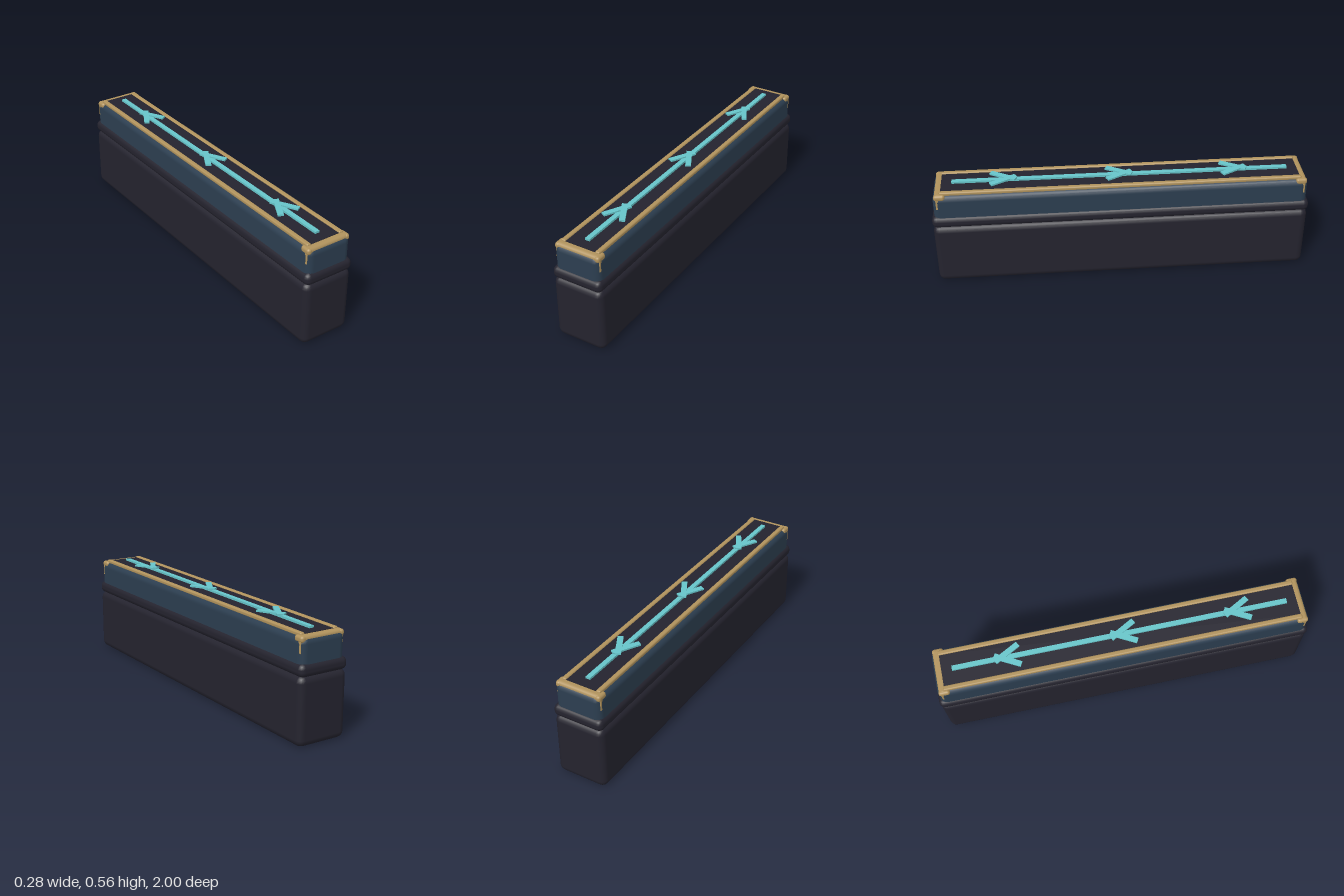
import * as THREE from 'three';
import { RoundedBoxGeometry } from 'three/addons/geometries/RoundedBoxGeometry.js';

function material(name, color) {
  const m = new THREE.MeshStandardMaterial({ color });
  m.name = name;
  return m;
}

export function createModel() {
  const group = new THREE.Group();
  const dark = material('charcoal', 0x24232e);
  const navy = material('navy', 0x2c3e50);
  const brass = material('brass', 0xb0925c);
  const teal = material('teal', 0x66c4c9);

  // Box given by size and centre, with rounded edges when r > 0
  function box(name, mat, [w, h, d], [x, y, z], r = 0) {
    const geo = r > 0 ? new RoundedBoxGeometry(w, h, d, 2, r) : new THREE.BoxGeometry(w, h, d);
    const mesh = new THREE.Mesh(geo, mat);
    mesh.name = name;
    mesh.position.set(x, y, z);
    group.add(mesh);
    return mesh;
  }

  // Stacked body
  box('base', dark, [0.28, 0.35, 1.995], [0, 0.175, 0], 0.035);
  box('collar', dark, [0.28, 0.066, 2], [0, 0.377, 0], 0.028);
  box('upperBody', navy, [0.256, 0.165, 1.974], [0, 0.4535, 0], 0.035);
  box('topPanel', dark, [0.18, 0.02, 1.89], [0, 0.532, 0]);

  // Raised side rails
  for (const s of [-1, 1]) {
    box('rail', brass, [0.026, 0.022, 1.9], [s * 0.0975, 0.538, 0], 0.008);
  }

  // End bars with corner lugs and legs
  for (const e of [-1, 1]) {
    box('endBar', brass, [0.252, 0.04, 0.045], [0, 0.521, e * 0.9555], 0.017);
    for (const s of [-1, 1]) {
      box('cornerLug', brass, [0.03, 0.034, 0.06], [s * 0.1125, 0.523, e * 0.95], 0.014);
      box('cornerLeg', brass, [0.03, 0.075, 0.016], [s * 0.111, 0.4925, e * 0.962], 0.003);
    }
  }

  // Direction line with three arrowheads pointing to the back
  box('directionLine', teal, [0.026, 0.012, 1.78], [0, 0.547, 0]);
  for (const tip of [-0.676, -0.065, 0.545]) {
    for (const s of [-1, 1]) {
      const arm = box('arrowArm', teal, [0.03, 0.009, 0.15], [s * 0.02, 0.5555, tip + 0.075]);
      arm.rotation.y = s * 0.5;
    }
  }
  return group;
}
